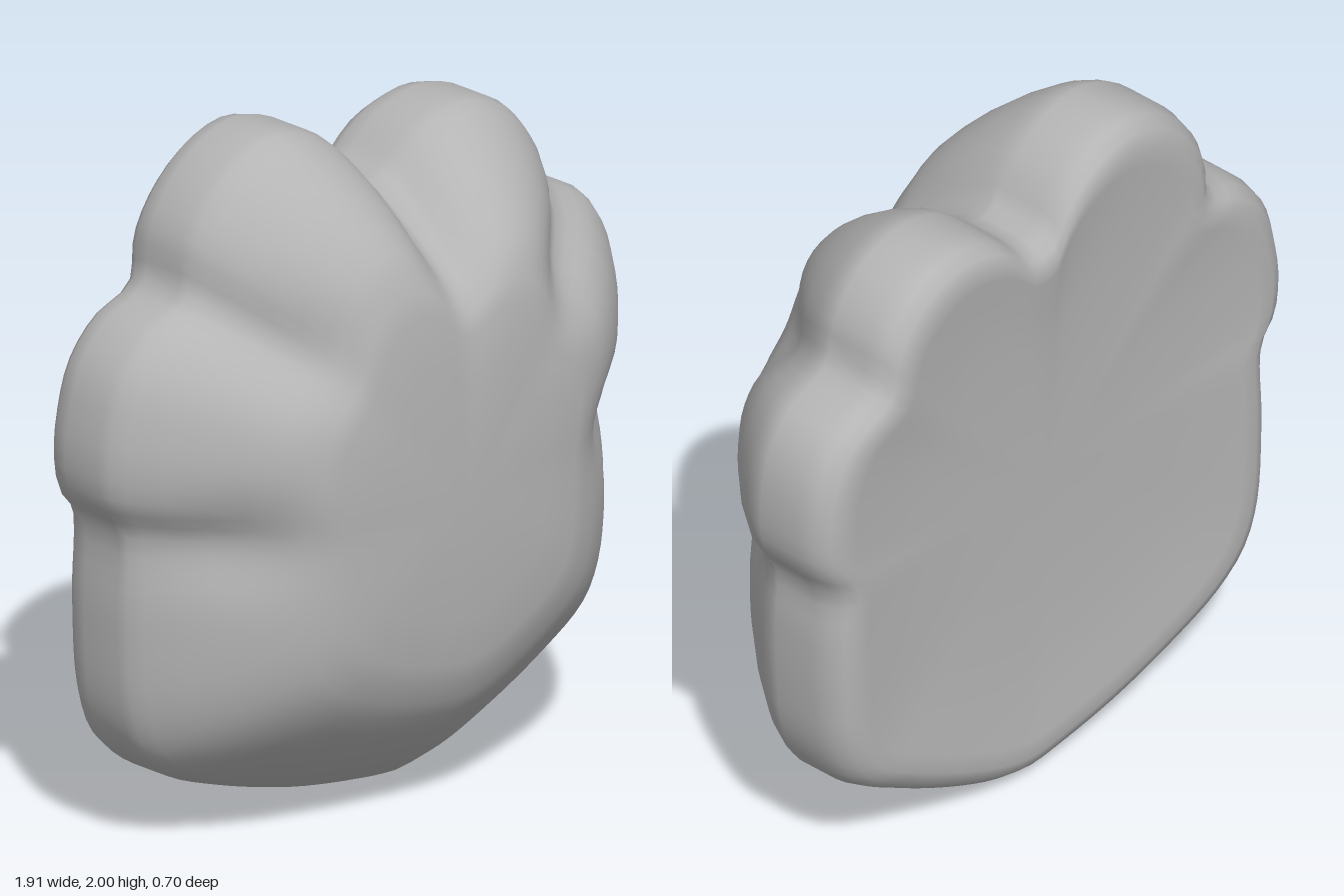
import * as THREE from 'three';

const CY = 0.95; // height of the hub all rings surround
const SEG = 128;

// Silhouette, counter-clockwise from the heel: sides, four toes and notches between them
const OUTLINE = [
  [0.1, 0.002], [0.2, 0.02], [0.36, 0.08], [0.6, 0.2], [0.8, 0.33], [0.865, 0.46], [0.89, 0.65],
  [0.895, 0.86], [0.89, 1.02], [0.945, 1.12], [0.957, 1.25], [0.93, 1.41], [0.86, 1.52],
  [0.69, 1.61], [0.66, 1.73], [0.58, 1.84], [0.47, 1.9], [0.36, 1.913], [0.22, 1.87],
  [0.08, 1.765], [0, 1.78], [-0.05, 1.86], [-0.15, 1.95], [-0.31, 2.0], [-0.45, 1.96],
  [-0.57, 1.86], [-0.64, 1.74], [-0.66, 1.6], [-0.8, 1.53], [-0.9, 1.42], [-0.95, 1.25],
  [-0.957, 1.15], [-0.94, 1.05], [-0.885, 0.97], [-0.885, 0.7], [-0.865, 0.42], [-0.81, 0.29],
  [-0.7, 0.2], [-0.5, 0.12], [-0.25, 0.05], [0, 0.01],
];

// Creases between toes on the sloping front: x, y, depth
const CREASES = [
  [-0.7, 0.95, 0.05], [-0.5, 1.47, 0.05], [0.04, 1.64, 0.03], [0.52, 1.46, 0.06], [0.7, 0.97, 0.05],
];

function outlineRing() {
  const curve = new THREE.CatmullRomCurve3(
    OUTLINE.map(([x, y]) => new THREE.Vector3(x, y - CY, 0)), true, 'centripetal');
  return curve.getSpacedPoints(SEG).slice(0, SEG).map((p) => new THREE.Vector2(p.x, p.y));
}

// Edge of the flat front: the silhouette scaled down and smoothed
function plateauRing(outer) {
  let ring = outer.map((p) => new THREE.Vector2(p.x * 0.58, p.y * (p.y > 0 ? 0.67 : 0.62)));
  for (let pass = 0; pass < 8; pass++) {
    ring = ring.map((p, i) => p.clone().multiplyScalar(2)
      .add(ring[(i + 1) % SEG]).add(ring[(i + SEG - 1) % SEG]).divideScalar(4));
  }
  return ring;
}

function pawGeometry() {
  const outer = outlineRing();
  const inner = plateauRing(outer);
  const pos = [0, CY, -0.31];
  const index = [];
  const addRing = (pick) => {
    for (let i = 0; i < SEG; i++) pos.push(...pick(i));
  };

  // Slightly dished back and rounded rim: scale, z
  const back = [[0.3, -0.311], [0.55, -0.317], [0.75, -0.329], [0.86, -0.343], [0.915, -0.345],
    [0.955, -0.33], [0.985, -0.295], [1, -0.24], [1, -0.11]];
  for (const [s, z] of back) addRing((i) => [outer[i].x * s, outer[i].y * s + CY, z]);

  // Sloping front from rim to plateau: blend, z
  const slope = [[0.975, -0.075], [0.92, -0.03], [0.75, 0.06], [0.55, 0.145], [0.35, 0.215],
    [0.18, 0.265], [0.05, 0.293]];
  for (const [t, z] of slope) {
    addRing((i) => {
      const x = THREE.MathUtils.lerp(inner[i].x, outer[i].x, t);
      const y = THREE.MathUtils.lerp(inner[i].y, outer[i].y, t) + CY;
      let dig = 0;
      for (const [cx, cy, d] of CREASES) {
        dig += d * Math.exp(-((x - cx) ** 2 + (y - cy) ** 2) / 0.018);
      }
      return [x, y, z - dig];
    });
  }

  // Gently domed front face: scale, z
  const front = [[0.93, 0.317], [0.83, 0.334], [0.6, 0.347], [0.3, 0.354]];
  for (const [s, z] of front) addRing((i) => [inner[i].x * s, inner[i].y * s + CY, z]);
  pos.push(0, CY, 0.356);

  // Skin the rings and close both ends
  const rings = back.length + slope.length + front.length;
  const at = (r, i) => 1 + r * SEG + (i % SEG);
  const last = 1 + rings * SEG;
  for (let i = 0; i < SEG; i++) {
    index.push(0, at(0, i + 1), at(0, i));
    for (let r = 0; r < rings - 1; r++) {
      const a = at(r, i), b = at(r, i + 1), c = at(r + 1, i + 1), d = at(r + 1, i);
      index.push(a, b, c, a, c, d);
    }
    index.push(at(rings - 1, i), at(rings - 1, i + 1), last);
  }

  const geo = new THREE.BufferGeometry();
  geo.setAttribute('position', new THREE.Float32BufferAttribute(pos, 3));
  geo.setIndex(index);
  geo.computeVertexNormals();
  return geo;
}

export function createModel() {
  const group = new THREE.Group();
  group.name = 'paw';
  const grey = new THREE.MeshStandardMaterial({ color: 0xb4b4b4 });
  grey.name = 'grey';
  const body = new THREE.Mesh(pawGeometry(), grey);
  body.name = 'pawBody';
  group.add(body);
  return group;
}
